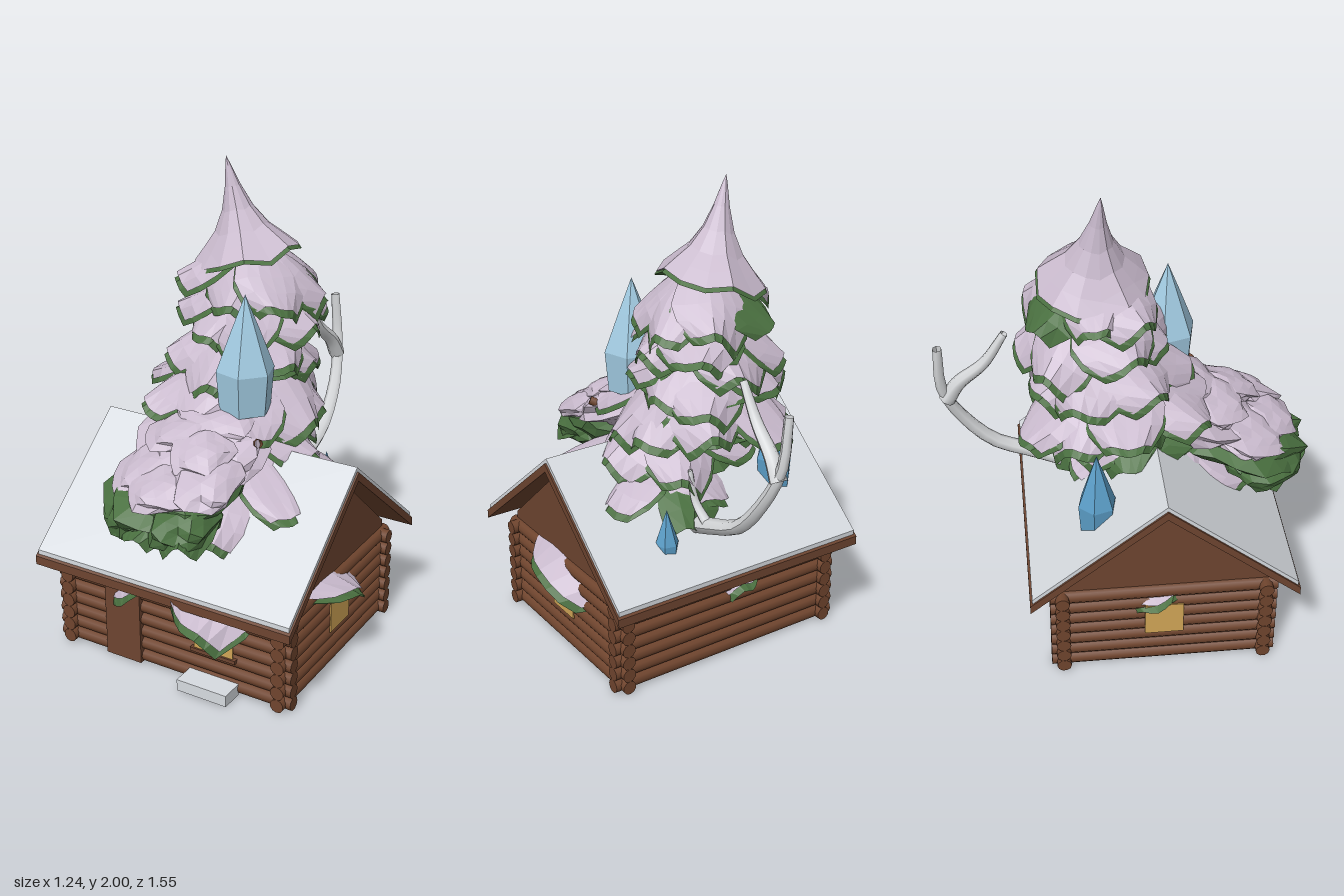
import * as THREE from 'three';

const mat = (name, color, flat = true) => {
  const m = new THREE.MeshStandardMaterial({ color, flatShading: flat, side: THREE.DoubleSide });
  m.name = name;
  return m;
};
const M = {
  log: mat('log brown', 0x70452e, false),
  plank: mat('plank brown', 0x6e4530),
  roofSnow: mat('roof snow', 0xd8dce1),
  snow: mat('lilac snow', 0xcabbce),
  green: mat('fir green', 0x4a7040),
  ice: mat('pale ice', 0xa2cbe2),
  blueIce: mat('blue ice', 0x5c9fc9),
  bone: mat('antler grey', 0xd6d8da, false),
  glow: mat('window glow', 0xd2a657),
  dark: mat('dark slate', 0x4b4a5a),
};

let seed = 11;
const rnd = () => (seed = (seed * 16807) % 2147483647) / 2147483647;
const jit = (a) => (rnd() - 0.5) * 2 * a;

export function createModel() {
  seed = 11;
  const model = new THREE.Group();
  const group = (name, parent = model) => {
    const g = new THREE.Group();
    g.name = name;
    parent.add(g);
    return g;
  };
  const add = (parent, name, geo, m, x = 0, y = 0, z = 0) => {
    const o = new THREE.Mesh(geo, m);
    o.name = name;
    o.position.set(x, y, z);
    parent.add(o);
    return o;
  };
  const box = (p, name, m, x0, x1, y0, y1, z0, z1) =>
    add(p, name, new THREE.BoxGeometry(x1 - x0, y1 - y0, z1 - z0), m, (x0 + x1) / 2, (y0 + y1) / 2, (z0 + z1) / 2);
  const move = (geo, fn) => {
    const p = geo.attributes.position, v = new THREE.Vector3();
    for (let i = 0; i < p.count; i++) {
      fn(v.fromBufferAttribute(p, i), i);
      p.setXYZ(i, v.x, v.y, v.z);
    }
    geo.computeVertexNormals();
    return geo;
  };
  // Profile of [z, y] points extruded from x0 to x1
  const prism = (p, name, pts, x0, x1, m) => {
    const shape = new THREE.Shape(pts.map(([z, y]) => new THREE.Vector2(z, y)));
    const geo = new THREE.ExtrudeGeometry(shape, { depth: x1 - x0, bevelEnabled: false });
    add(p, name, geo.rotateY(-Math.PI / 2).translate(x1, 0, 0), m);
  };

  // Cabin walls: crossing logs around a solid core
  const cabin = group('cabin');
  box(cabin, 'cabinCore', M.plank, -0.52, 0.475, 0.005, 0.42, -0.305, 0.525);
  for (let i = 0; i < 7; i++) {
    const y = 0.03 + i * 0.058;
    for (const z of [0.53, -0.31])
      add(cabin, 'longLog', new THREE.CylinderGeometry(0.03, 0.03, 1.11, 10).rotateZ(Math.PI / 2), M.log, -0.025, y, z);
    for (const x of [-0.525, 0.48])
      add(cabin, 'sideLog', new THREE.CylinderGeometry(0.03, 0.03, 0.94, 10).rotateX(Math.PI / 2), M.log, x, y, 0.11);
  }
  box(cabin, 'door', M.plank, -0.34, -0.17, 0.003, 0.365, 0.53, 0.568);
  box(cabin, 'step', M.roofSnow, 0.06, 0.29, 0, 0.05, 0.55, 0.65);

  // Windows with glazing bars
  box(cabin, 'frontWindow', M.glow, 0.09, 0.27, 0.165, 0.325, 0.558, 0.564);
  box(cabin, 'windowBar', M.plank, 0.174, 0.186, 0.165, 0.325, 0.558, 0.569);
  box(cabin, 'windowBar', M.plank, 0.09, 0.27, 0.242, 0.25, 0.558, 0.569);
  box(cabin, 'windowSill', M.plank, 0.075, 0.285, 0.15, 0.166, 0.55, 0.572);
  box(cabin, 'sideWindow', M.glow, 0.508, 0.514, 0.165, 0.32, 0.03, 0.19);
  box(cabin, 'sideWindow', M.glow, -0.559, -0.553, 0.165, 0.32, 0.03, 0.19);

  // Gables and roof
  const gable = [[0.55, 0.41], [0.55, 0.44], [0.11, 0.835], [-0.33, 0.44], [-0.33, 0.41]];
  prism(cabin, 'gable', gable, 0.46, 0.485, M.plank);
  prism(cabin, 'gable', gable, -0.53, -0.505, M.plank);
  const chevron = (top, thick, half) => {
    const e = top - half * 0.82;
    return [[0.108 + half, e], [0.108, top], [0.108 - half, e], [0.108 - half, e - thick], [0.108, top - thick], [0.108 + half, e - thick]];
  };
  prism(cabin, 'roofBoards', chevron(0.875, 0.038, 0.549), -0.62, 0.577, M.plank);
  prism(cabin, 'roofSnow', chevron(0.895, 0.022, 0.54), -0.612, 0.569, M.roofSnow);

  // Frozen patch under the floor
  add(cabin, 'icePatch', new THREE.CircleGeometry(0.425, 22).rotateX(Math.PI / 2), M.ice, 0, 0.002, 0.1);
  const patch = move(new THREE.CircleGeometry(0.21, 18), (v, i) => v.multiplyScalar(1 + 0.22 * Math.sin(i * 2.3)));
  add(cabin, 'darkPatch', patch.rotateX(Math.PI / 2), M.dark, 0, 0.001, 0.1);

  // One drooping bough sheet, pointing along angle a (0 = front)
  const tree = group('firTree');
  const sheet = (p, name, m, b, len, wide, lift) => {
    const geo = move(new THREE.PlaneGeometry(2, 1, 6, 5), (v) => {
      const s = v.x, t = (v.y + 0.5) * len;
      const tip = Math.max(0, (t - 0.55) / 0.45);
      const w = b.w * wide * (0.4 + 0.6 * Math.min(1, t / 0.55)) * Math.sqrt(1 - 0.75 * tip * tip);
      const f = b.r0 + (b.r1 - b.r0) * t - 0.25 * b.w * s * s;
      const l = s * w;
      v.set(b.x + Math.sin(b.a) * f + Math.cos(b.a) * l,
        b.y0 + (b.y1 - b.y0) * Math.pow(t, 1.25) + ((b.tilt || 0) * s - b.droop * s * s + 0.012 * Math.sin(4 * s + b.a * 5)) * t + lift,
        b.z + Math.cos(b.a) * f - Math.sin(b.a) * l);
    });
    add(p, name, geo, m);
  };
  const bough = (p, b, snowy = true) => {
    sheet(p, 'needles', M.green, b, 1, 1, -0.012);
    if (snowy) sheet(p, 'boughSnow', M.snow, b, 0.97, 0.95, 0.01);
  };

  // Tiers from top to bottom: centre x, z, inner y, rim y, rim radius, boughs
  const tiers = [
    [-0.03, -0.13, 1.67, 1.48, 0.29, 7],
    [-0.04, -0.13, 1.52, 1.32, 0.32, 7],
    [-0.06, -0.1, 1.36, 1.18, 0.34, 7],
    [-0.03, -0.06, 1.28, 1.0, 0.36, 8],
    [0.0, 0.04, 1.04, 0.82, 0.33, 7],
    [0.02, 0.1, 0.86, 0.63, 0.38, 8],
  ];
  tiers.forEach(([x, z, y0, y1, r, n], k) => {
    const tier = group('tier' + (k + 1), tree);
    const h = y0 - y1;
    if (k > 1)
      add(tier, 'tierCore', new THREE.CylinderGeometry(0.08, r * 0.82, h, 11, 1, true), M.green, x, y0 - h / 2 - 0.025, z);
    for (let i = 0; i < n; i++) {
      const r1 = r + jit(0.045);
      bough(tier, {
        a: ((i + (k % 2) * 0.5) / n) * Math.PI * 2 + jit(0.2), x, z, r0: 0.03, r1,
        y0: y0 + jit(0.015), y1: y1 + jit(0.05), w: r * 0.5 + jit(0.02), droop: 0.05, tilt: jit(0.03),
      }, rnd() > 0.18);
    }
  });

  // Longer single boughs: angle, centre x, z, reach, inner y, tip y, half width
  const single = group('longBoughs', tree);
  for (const [a, x, z, r1, y0, y1, w] of [
    [1.9, 0.02, 0, 0.43, 0.86, 0.72, 0.13],
    [1.0, 0.05, 0.12, 0.44, 0.88, 0.73, 0.13],
    [-1.6, -0.05, -0.02, 0.42, 1.22, 1.06, 0.17],
    [-0.1, -0.05, -0.02, 0.36, 1.24, 1.06, 0.2],
    [-0.7, -0.05, 0.0, 0.4, 1.2, 1.04, 0.16],
    [0.6, 0.0, 0.02, 0.36, 1.15, 1.0, 0.16],
    [-2.75, -0.1, -0.1, 0.37, 1.2, 0.97, 0.16],
    [0.25, 0.05, 0.2, 0.36, 0.8, 0.62, 0.16],
    [-0.35, -0.03, 0.2, 0.34, 0.8, 0.63, 0.16],
  ]) bough(single, { a, x, z, r0: 0.03, r1, y0, y1, w, droop: 0.04 });

  // Low boughs that break through the walls
  const low = group('lowBoughs', tree);
  const lowBough = (a, x, z, r1, y1, w, droop, tilt) => bough(low, { a, x, z, r0: 0.05, r1, y0: 0.5, y1, w, droop, tilt });
  lowBough(Math.PI / 2, 0.02, 0.14, 0.6, 0.35, 0.34, 0.03, -0.07);
  lowBough(0, 0.16, 0.16, 0.57, 0.34, 0.2, 0.02, -0.07);
  lowBough(0, -0.18, 0.16, 0.47, 0.34, 0.23, 0.02, 0.07);
  lowBough(Math.PI, -0.1, 0.1, 0.48, 0.31, 0.13, 0.02, 0.02);
  lowBough(-Math.PI / 2, -0.02, 0.08, 0.57, 0.33, 0.17, 0.02, 0.03);

  // Snowy tip, bent to one side
  const capPts = [[0.001, 1.62], [0.218, 1.605], [0.17, 1.655], [0.115, 1.71], [0.066, 1.79], [0.033, 1.88], [0.012, 1.96], [0, 2.0]];
  const cap = (name, pts, m, drop, grow) => add(tree, name, move(
    new THREE.LatheGeometry(pts.map(([r, y]) => new THREE.Vector2(r * grow, y - drop)), 13), (v) => {
      const edge = Math.hypot(v.x, v.z) / 0.215;
      v.y += 0.24 * v.x + 0.018 * edge * Math.sin(Math.atan2(v.x, v.z) * 5);
      v.x += -0.065 - 0.22 * Math.max(0, v.y - 1.6);
      v.z -= 0.13 - 0.07 * Math.max(0, v.y - 1.6);
    }), m);
  cap('tipSnow', capPts, M.snow, 0, 1);
  cap('tipNeedles', capPts.slice(0, 4), M.green, 0.016, 1.03);

  // Tapered limbs: trunk, stubs and antler
  const limb = (p, name, m, pts, r, end) => {
    const curve = new THREE.CatmullRomCurve3(pts.map((q) => new THREE.Vector3(...q)));
    const seg = 14, sides = 7;
    const geo = new THREE.TubeGeometry(curve, seg, r, sides);
    move(geo, (v, i) => {
      const t = Math.floor(i / (sides + 1)) / seg;
      v.sub(curve.getPointAt(t)).multiplyScalar(1 + (end - 1) * t).add(curve.getPointAt(t));
    });
    add(p, name, geo, m);
  };
  limb(tree, 'trunk', M.log, [[0, 0.05, 0], [-0.02, 0.8, -0.05], [-0.05, 1.3, -0.11], [-0.07, 1.68, -0.12]], 0.08, 0.4);
  limb(tree, 'branchStub', M.log, [[0, 0.85, 0.35], [-0.06, 0.72, 0.47], [-0.13, 0.58, 0.56]], 0.03, 0.8);
  limb(tree, 'branchStub', M.log, [[0.03, 0.85, 0.4], [0.09, 0.71, 0.55]], 0.022, 0.8);
  limb(tree, 'branchStub', M.log, [[0.15, 0.95, 0.24], [0.24, 1.0, 0.31]], 0.02, 0.9);

  // Heavy snow-laden bough hanging over the front, in craggy lumps
  const front = group('frontBough', tree);
  const lump = (name, m, x, y, z, sx, sy, sz, tilt, roll = 0) => {
    const k = x * 31 + z * 17;
    const geo = move(new THREE.IcosahedronGeometry(1, 2), (v) =>
      v.multiplyScalar(1 + 0.13 * Math.sin(5 * v.x + k) * Math.cos(4 * v.z - k) + 0.09 * Math.sin(7 * v.y + 6 * v.x + k)));
    const o = add(front, name, geo, m, x, y, z);
    o.scale.set(sx, sy, sz);
    o.rotation.set(tilt, 0, roll);
  };
  lump('boughNeedles', M.green, -0.04, 0.8, 0.48, 0.26, 0.11, 0.27, 0.3);
  lump('boughNeedles', M.green, -0.14, 0.73, 0.57, 0.17, 0.08, 0.16, 0.1, 0.2);
  lump('boughNeedles', M.green, 0.08, 0.75, 0.59, 0.13, 0.08, 0.17, 0.15, -0.2);
  lump('snowLump', M.snow, -0.02, 0.93, 0.33, 0.28, 0.08, 0.24, 0.35);
  lump('snowLump', M.snow, -0.15, 0.88, 0.49, 0.14, 0.05, 0.16, 0.35, 0.25);
  lump('snowLump', M.snow, 0.13, 0.9, 0.5, 0.13, 0.05, 0.18, 0.35, -0.25);
  lump('snowLump', M.snow, -0.02, 0.86, 0.6, 0.14, 0.05, 0.12, 0.4, 0.1);
  lump('snowLump', M.snow, -0.08, 1.0, 0.36, 0.15, 0.045, 0.13, 0.25, 0.2);
  lump('snowLump', M.snow, 0.07, 0.97, 0.45, 0.12, 0.045, 0.12, 0.4, -0.15);
  lump('snowLump', M.snow, 0.03, 1.04, 0.28, 0.17, 0.04, 0.12, 0.3, -0.1);
  for (const [a, r1] of [[-0.6, 0.4], [-0.12, 0.43], [0.38, 0.44]])
    bough(front, { a, x: -0.02, z: 0.34, r0: 0.03, r1, y0: 0.86, y1: 0.72, w: 0.13, droop: 0.05 }, false);

  // Ice crystals
  const crystal = (m, x, y0, y1, z, r) => {
    const h = y1 - y0;
    const pts = [[0, 0], [r * 0.88, 0], [r, h * 0.36], [r * 0.48, h * 0.7], [0, h]].map(([a, b]) => new THREE.Vector2(a, b));
    add(model, 'iceCrystal', new THREE.LatheGeometry(pts, 6).rotateY(0.3), m, x, y0, z);
  };
  crystal(M.ice, 0.105, 1.07, 1.55, 0.185, 0.12);
  crystal(M.blueIce, -0.39, 0.62, 0.99, -0.15, 0.08);
  crystal(M.blueIce, 0.24, 0.5, 0.73, -0.27, 0.05);
  crystal(M.ice, -0.06, 0.53, 0.78, 0.45, 0.07);
  crystal(M.blueIce, 0.06, 0.53, 0.82, 0.42, 0.05);

  // Antler reaching out at the back
  const antler = group('antler');
  limb(antler, 'antlerBeam', M.bone, [[0.08, 0.6, -0.22], [0.09, 0.66, -0.38], [0.085, 0.73, -0.54], [0.07, 0.88, -0.67], [0.04, 1.05, -0.745], [0.02, 1.26, -0.75]], 0.038, 0.5);
  limb(antler, 'antlerTine', M.bone, [[0.045, 0.99, -0.73], [0.04, 1.07, -0.68], [0.03, 1.17, -0.57], [0.03, 1.31, -0.48]], 0.036, 0.45);
  limb(antler, 'antlerTine', M.bone, [[0.09, 0.64, -0.36], [0.11, 0.74, -0.28], [0.12, 0.87, -0.26]], 0.024, 0.4);
  return model;
}
